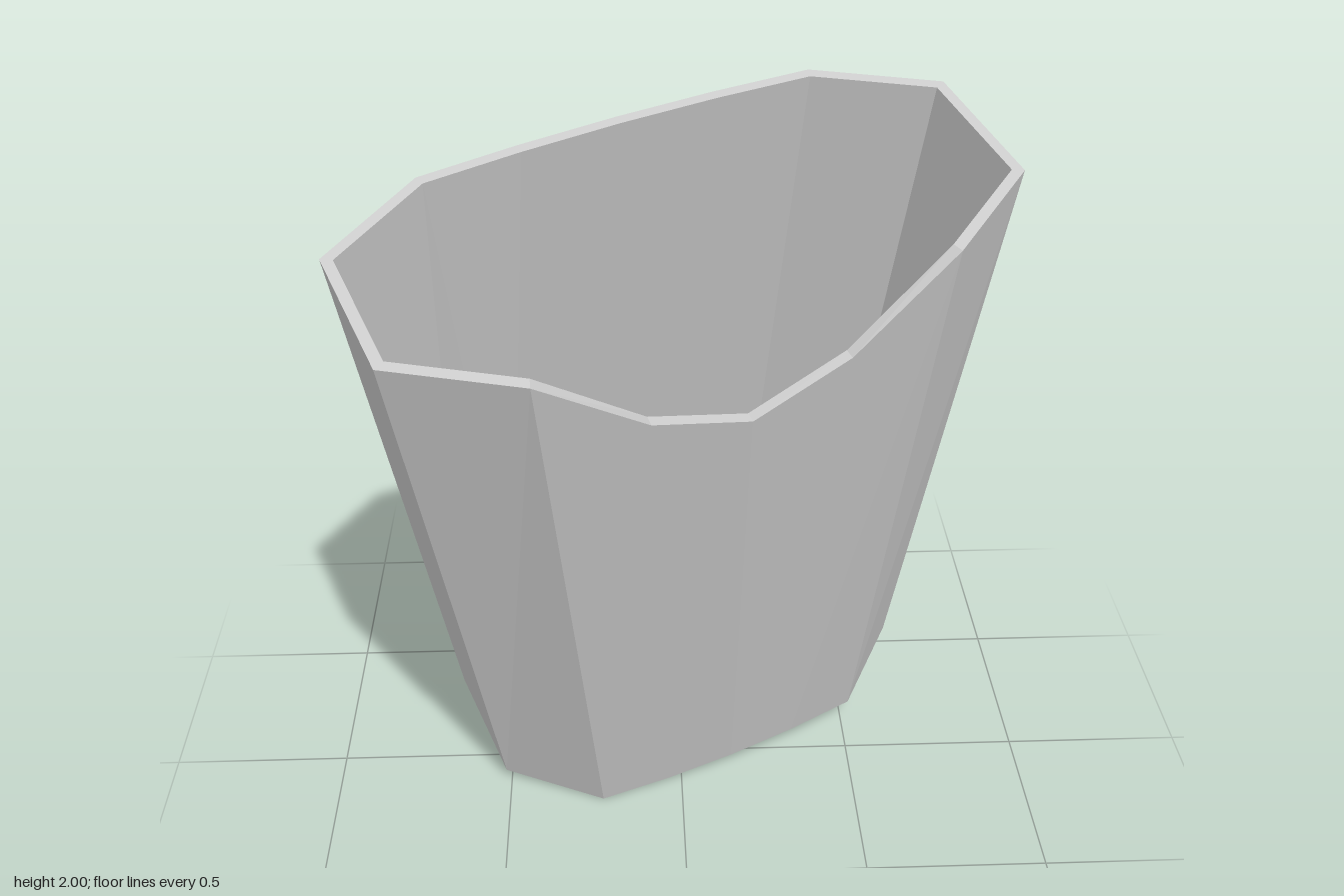
import * as THREE from 'three';

const SLOPE = -0.295;        // tilt of the base and rim planes
const WALL = 0.027;
const FLOOR = 0.03;          // floor thickness as a share of the height
const BULGE = [0, 0.015, 0.02, 0.015];
const NOTCH = [1, 0.878, 0.823, 0.877];

// Corners as [x, z]: left side, back, right side, front
const BASE = [[-0.655, -0.207], [-0.52, -0.45], [0.23, -0.755], [0.51, -0.675],
  [0.655, -0.36], [0.515, -0.1], [-0.23, 0.2], [-0.515, 0.1]];
const TOP = [[-0.82, 0.355], [-0.625, 0.085], [0.335, -0.305], [0.67, -0.25],
  [0.815, 0.09], [0.625, 0.36], [-0.34, 0.75], [-0.67, 0.69]];
const BACK = 1, FRONT = 5;   // long sides, gently bowed

// Inward normal of the edge from p to q
function inward(p, q) {
  return new THREE.Vector2(p.y - q.y, q.x - p.x).normalize();
}

// Subdivide the two long sides into bowed curves
function outline(corners) {
  const pts = [];
  corners.forEach((c, i) => {
    const p = new THREE.Vector2(...c);
    const q = new THREE.Vector2(...corners[(i + 1) % corners.length]);
    const steps = i === BACK || i === FRONT ? 4 : 1;
    for (let s = 0; s < steps; s++) {
      pts.push(p.clone().lerp(q, s / steps).addScaledVector(inward(p, q), -BULGE[s]));
    }
  });
  return pts;
}

// Mitred inset of an outline
function inset(pts, d) {
  const n = pts.length;
  return pts.map((p, i) => {
    const a = inward(pts[(i + n - 1) % n], p);
    const b = inward(p, pts[(i + 1) % n]);
    return p.clone().addScaledVector(a.clone().add(b), d / (1 + a.dot(b)));
  });
}

// Lift an outline onto a sloping plane of height y0 at z0
function onPlane(pts, y0, z0) {
  return pts.map((p) => new THREE.Vector3(p.x, y0 + SLOPE * (p.y - z0), p.y));
}

const between = (a, b, t) => a.map((p, i) => p.clone().lerp(b[i], t(i)));

function collapse(ring) {
  const c = new THREE.Vector3();
  ring.forEach((p) => c.add(p));
  c.divideScalar(ring.length);
  return ring.map(() => c);
}

// Faceted band joining two rings
function band(name, a, b, material) {
  const tris = [];
  const add = (p, q, r) => {
    if (!p.equals(q) && !q.equals(r) && !r.equals(p)) tris.push(p, q, r);
  };
  a.forEach((p, i) => {
    const j = (i + 1) % a.length;
    add(a[j], p, b[i]);
    add(a[j], b[i], b[j]);
  });
  const geometry = new THREE.BufferGeometry().setFromPoints(tris);
  geometry.computeVertexNormals();
  const mesh = new THREE.Mesh(geometry, material);
  mesh.name = name;
  return mesh;
}

export function createModel() {
  const group = new THREE.Group();
  group.name = 'taperedSleeve';
  const material = new THREE.MeshStandardMaterial({ color: 0xcccccc, flatShading: true });

  const base = outline(BASE), top = outline(TOP);
  const outerBase = onPlane(base, 0, 0.2);
  const outerFull = onPlane(top, 1.69, 0.75);
  const innerBase = onPlane(inset(base, WALL), 0, 0.2);
  const innerFull = onPlane(inset(top, WALL), 1.69, 0.75);

  // The notch lowers the rim along the bowed front (one extra run of points after the back)
  const first = FRONT + 3;
  const rimHeight = (i) => NOTCH[i - first] ?? 1;
  const outerRim = between(outerBase, outerFull, rimHeight);
  const innerRim = between(innerBase, innerFull, rimHeight);
  const innerFloor = between(innerBase, innerFull, () => FLOOR);

  group.add(
    band('baseUnderside', collapse(outerBase), outerBase, material),
    band('outerWall', outerBase, outerRim, material),
    band('rim', outerRim, innerRim, material),
    band('innerWall', innerRim, innerFloor, material),
    band('innerFloor', innerFloor, collapse(innerFloor), material),
  );
  return group;
}
